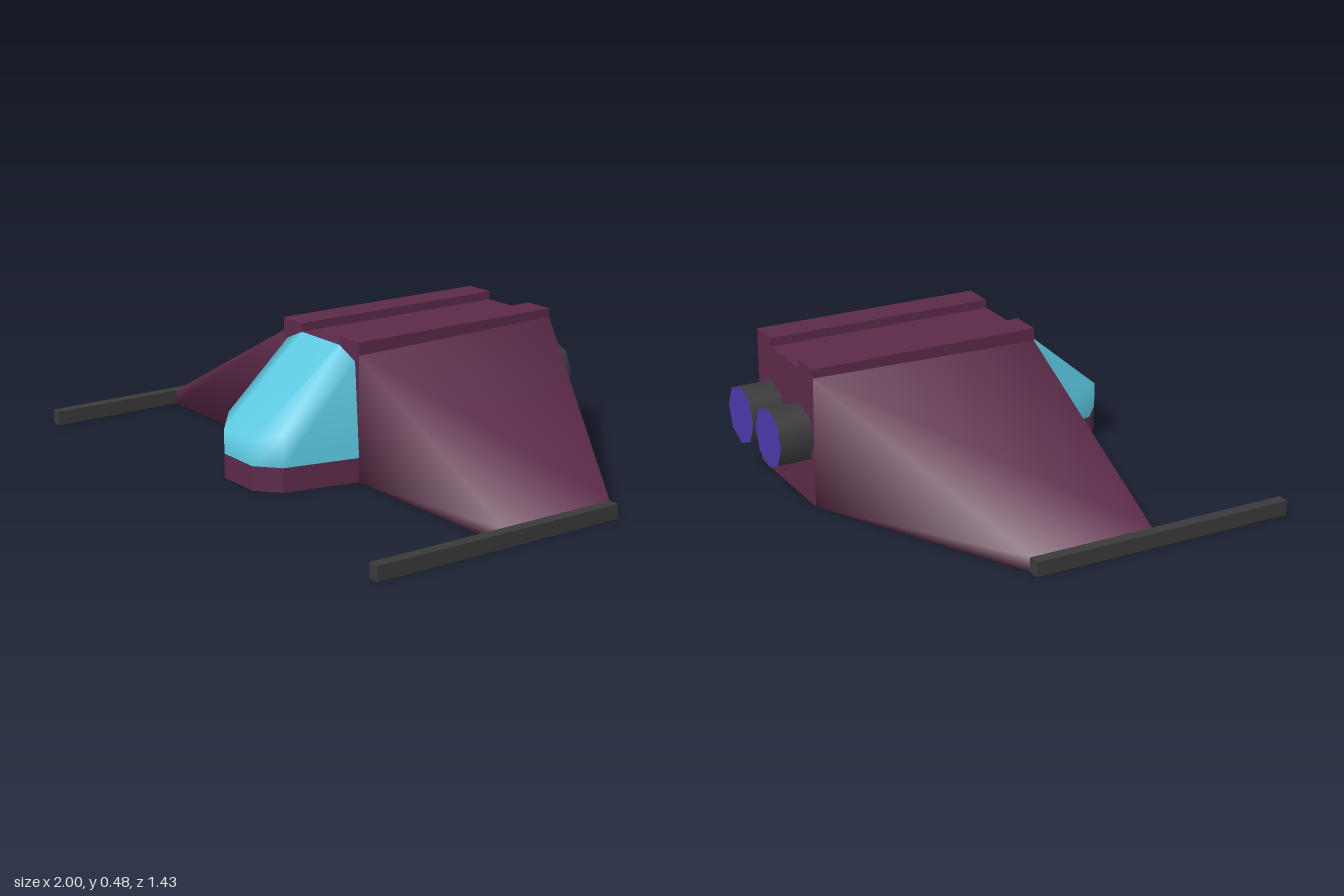
import * as THREE from 'three';

const paint = (color) => new THREE.MeshStandardMaterial({ color });
const hullMat = paint(0x5c2a48);
const glassMat = paint(0x5cc8e0);
const darkMat = paint(0x3a3a3a);
const glowMat = paint(0x4b38a8);

function add(group, name, geometry, material, x = 0, y = 0, z = 0) {
  const mesh = new THREE.Mesh(geometry, material);
  mesh.name = name;
  mesh.position.set(x, y, z);
  group.add(mesh);
  return mesh;
}

// Smooth skin through cross-sections, each an array of [x, y, z] points.
function loft(sections, closed) {
  const n = sections[0].length;
  const index = [];
  for (let i = 0; i < sections.length - 1; i++) {
    for (let j = 0; j < (closed ? n : n - 1); j++) {
      const k = (j + 1) % n;
      const a = i * n + j, b = i * n + k, c = a + n, d = b + n;
      index.push(a, b, c, b, d, c);
    }
  }
  const g = new THREE.BufferGeometry();
  g.setAttribute('position', new THREE.Float32BufferAttribute(sections.flat(2), 3));
  g.setIndex(index);
  g.computeVertexNormals();
  return g;
}

// Extruded shape, given the points of its +x half.
function mirroredExtrude(half, depth) {
  const other = half.map(([x, y]) => [-x, y]).reverse();
  const shape = new THREE.Shape([...half, ...other].map(([x, y]) => new THREE.Vector2(x, y)));
  return new THREE.ExtrudeGeometry(shape, { depth, bevelEnabled: false });
}

export function createModel() {
  const model = new THREE.Group();
  model.name = 'spacecraft';

  // Central hull with a raised rail along each top edge
  const profile = [[0.22, 0], [0.22, 0.48], [0.11, 0.48], [0.11, 0.45]];
  add(model, 'hull', mirroredExtrude(profile, 0.82), hullMat, 0, 0, -0.6);

  // Nose base under the canopy
  const plan = [[0.22, -0.22], [0.165, -0.485], [0.085, -0.555]];
  const nose = mirroredExtrude(plan, 0.085);
  nose.rotateX(-Math.PI / 2);
  add(model, 'nose', nose, hullMat);

  // Canopy: sections from base to roof, walked around the front
  const ribs = [
    [[0.22, 0.085, 0.22], [0.2, 0.42, 0.21], [0.11, 0.45, 0.22]],
    [[0.165, 0.085, 0.485], [0.165, 0.2, 0.485], [0.11, 0.45, 0.22]],
    [[0.085, 0.085, 0.555], [0.085, 0.17, 0.555], [0.11, 0.45, 0.22]],
  ];
  const mirrorRib = (rib) => rib.map(([x, y, z]) => [-x, y, z]);
  add(model, 'canopy', loft([...ribs, ...ribs.map(mirrorRib).reverse()], false), glassMat);

  // Wings, wingtip cannons and engines on both sides
  for (const s of [1, -1]) {
    const side = s > 0 ? 'left' : 'right';
    const rib = (x, rear, rearTop, frontTop) =>
      [[s * x, rearTop, rear], [s * x, frontTop, 0.22], [s * x, 0, 0.22], [s * x, 0, rear]];
    const wing = [rib(0.22, -0.6, 0.45, 0.435), rib(0.96, -0.225, 0.05, 0.05)];
    if (s < 0) wing.reverse();
    add(model, side + 'Wing', loft(wing, true), hullMat);

    add(model, side + 'Cannon', new THREE.BoxGeometry(0.04, 0.05, 0.94), darkMat, s * 0.98, 0.025, 0.245);

    const engine = new THREE.Group();
    engine.name = side + 'Engine';
    engine.position.set(s * 0.112, 0.228, -0.6);
    const nozzle = new THREE.CylinderGeometry(0.103, 0.103, 0.115, 8, 1, true);
    nozzle.rotateX(Math.PI / 2);
    add(engine, 'nozzle', nozzle, darkMat, 0, 0, -0.0575);
    const glow = new THREE.CircleGeometry(0.103, 8);
    glow.rotateY(Math.PI);
    add(engine, 'exhaustGlow', glow, glowMat, 0, 0, -0.115);
    model.add(engine);
  }
  return model;
}
